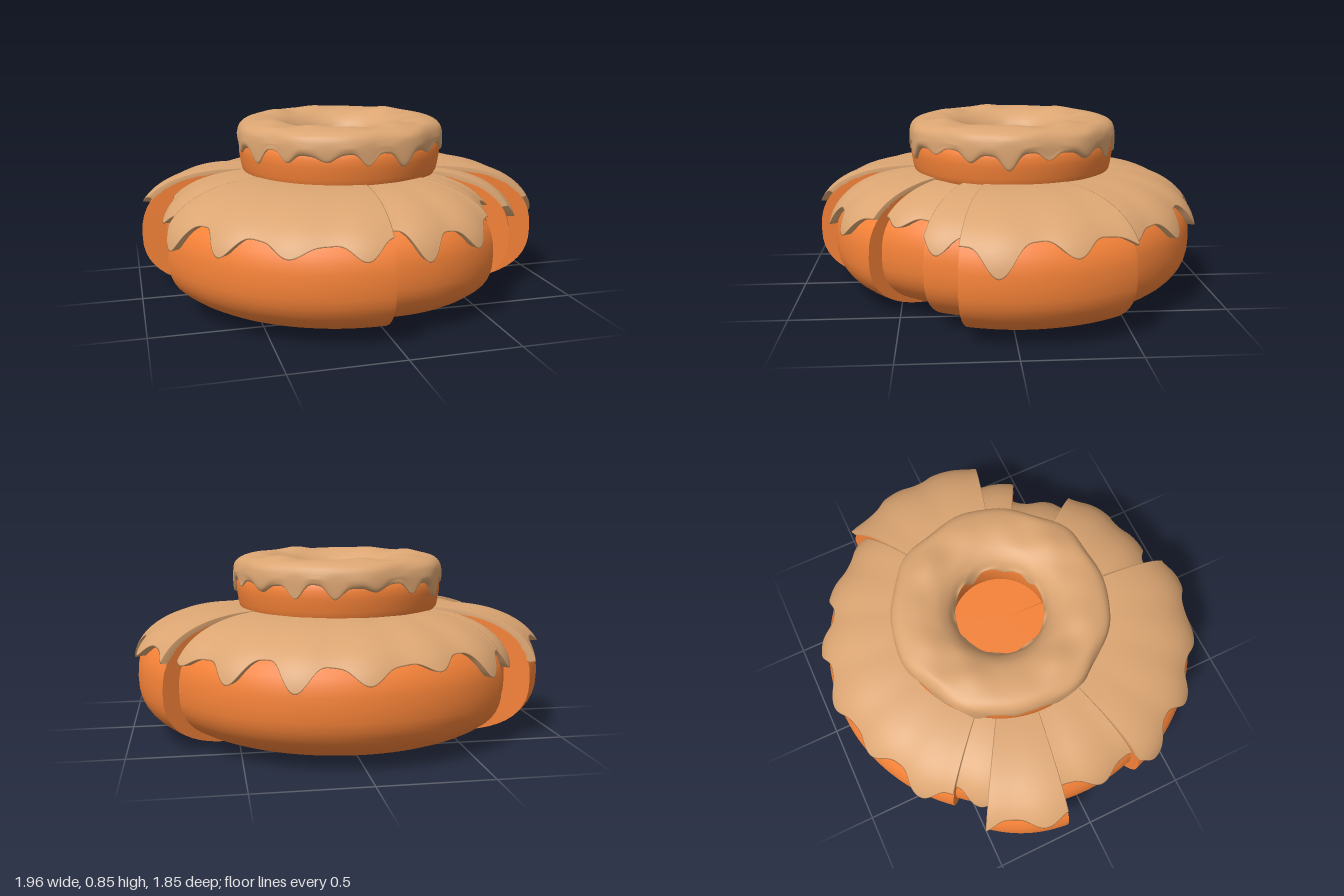
import * as THREE from 'three';

const dough = new THREE.MeshStandardMaterial({ color: 0xf58238, side: THREE.DoubleSide });
const glaze = new THREE.MeshStandardMaterial({ color: 0xdba572, side: THREE.DoubleSide });
const RAD = Math.PI / 180;

// Smooth surface from a grid: fn(i, j) gives [angle, radius, height]
function surface(name, material, nu, nv, fn, closed = false) {
  const pos = [], idx = [], cols = closed ? nu : nu + 1;
  for (let i = 0; i < cols; i++) {
    for (let j = 0; j <= nv; j++) {
      const [phi, r, y] = fn(i, j);
      pos.push(r * Math.cos(phi), y, r * Math.sin(phi));
    }
  }
  for (let i = 0; i < nu; i++) {
    for (let j = 0; j < nv; j++) {
      const a = i * (nv + 1) + j, b = ((i + 1) % cols) * (nv + 1) + j;
      idx.push(a, a + 1, b, b, a + 1, b + 1);
    }
  }
  const g = new THREE.BufferGeometry();
  g.setAttribute('position', new THREE.Float32BufferAttribute(pos, 3));
  g.setIndex(idx);
  g.computeVertexNormals();
  const mesh = new THREE.Mesh(g, material);
  mesh.name = name;
  return mesh;
}

// Plump cross-section of the large base: angle a runs from -90 to 90 degrees
const spow = (v, e) => Math.sign(v) * Math.pow(Math.abs(v), e);
function bunProfile(R, a, thick = 0) {
  const s = spow(Math.sin(a), 0.8), c = Math.pow(Math.max(0, Math.cos(a)), 0.8);
  return [
    R - 0.5 + 0.5 * c + thick * Math.cos(a),
    0.28 + (s > 0 ? 0.30 : 0.28) * s + thick * 0.6 * Math.sin(a),
  ];
}

// Uneven drips: 0 at the rim, 1 at the tip of the longest drip
function drip(phi, k) {
  const main = Math.pow(0.5 + 0.5 * Math.sin(k * phi), 1.8);
  return main * (0.68 + 0.32 * Math.sin(5 * phi + 1)) + 0.12 * Math.sin(7 * phi);
}

// One wedge of the base with its cut faces and its own glaze
function makeSector([from, to, R0, R1, bulge]) {
  const group = new THREE.Group();
  group.name = 'baseSector';
  const n = Math.max(10, Math.round((to - from) * 1.2)), m = 28;
  const phiAt = u => (from + (to - from) * u) * RAD;
  const radius = u => R0 + (R1 - R0) * u + bulge * Math.sin(Math.PI * u);
  const section = (u, j) => {
    if (j === 0) return [0, 0];
    if (j === m) return [0, 0.58];
    return bunProfile(radius(u), (-0.5 + (j - 1) / (m - 2)) * Math.PI);
  };
  group.add(surface('baseDough', dough, n, m, (i, j) => [phiAt(i / n), ...section(i / n, j)]));
  for (const u of [0, 1]) {
    group.add(surface('cutFace', dough, 1, m, (i, j) => {
      const [r, y] = section(u, j);
      return i ? [phiAt(u), r, y] : [phiAt(u), 0, 0.28];
    }));
  }

  // Glaze shell, tucked onto the dough along every border
  const cols = n * 3 + 2, rows = 22;
  group.add(surface('baseGlaze', glaze, cols, rows, (i, j) => {
    const u = THREE.MathUtils.clamp((i - 1) / (cols - 2), 0, 1), phi = phiAt(u);
    const edgeY = 0.455 - 0.11 * drip(phi, 19);
    const a0 = Math.asin(spow((edgeY - 0.28) / 0.30, 1.25));
    const v = Math.max(0, (j - 2) / (rows - 2));
    const border = i === 0 || i === cols || j === 0;
    const lump = 0.006 * Math.sin(19 * phi) * (1 - v);
    const thick = border ? -0.005 : 0.03 + lump;
    const a = a0 + (Math.PI / 2 - a0) * v + (j === 1 ? -0.02 : 0);
    return [phi, ...bunProfile(radius(u), a, thick)];
  }));
  return group;
}

// Small ring on top, swept from a smooth cross-section
function makeRing(name, material, nu, nv, points) {
  let curve, last = -1;
  return surface(name, material, nu, nv, (i, j) => {
    const phi = (i / nu) * Math.PI * 2;
    if (i !== last) {
      curve = new THREE.SplineCurve(points(phi).map(p => new THREE.Vector2(...p)));
      last = i;
    }
    const p = curve.getPoint(j / nv);
    return [phi, p.x, p.y];
  }, true);
}

export function createModel() {
  const model = new THREE.Group();
  model.name = 'glazedCake';

  // Base wedges: start degree, end degree, start radius, end radius, bulge
  const sectors = [
    [-31, 15, 0.97, 0.94, 0.01],
    [15, 28, 0.82, 0.82, 0],
    [28, 50, 0.72, 0.75, 0],
    [50, 90.5, 0.82, 0.82, 0.01],
    [91.5, 162, 0.91, 0.93, 0.01],
    [162, 188, 0.88, 0.87, 0],
    [188, 211, 0.99, 0.97, 0.01],
    [211, 222, 0.85, 0.85, 0],
    [222, 329, 0.89, 0.89, 0.02],
  ];
  const base = new THREE.Group();
  base.name = 'base';
  sectors.forEach(s => base.add(makeSector(s)));
  model.add(base);

  // Top ring
  const ring = new THREE.Group();
  ring.name = 'topRing';
  ring.add(makeRing('ringDough', dough, 64, 24, () => [
    [0.465, 0.57], [0.485, 0.62], [0.485, 0.74], [0.36, 0.81],
    [0.235, 0.74], [0.22, 0.65], [0.23, 0.57],
  ]));
  ring.add(makeRing('ringGlaze', glaze, 200, 40, phi => {
    const out = 0.735 - 0.07 * drip(phi, 17), inn = 0.735 - 0.06 * drip(phi + 0.4, 9);
    const w = 0.006 * Math.sin(7 * phi) + 0.004 * Math.sin(11 * phi + 2);
    return [
      [0.475, out + 0.005], [0.497, out], [0.505 + w, out + 0.02], [0.504 + w, 0.775],
      [0.49 + w, 0.812], [0.45, 0.836], [0.37, 0.844 + w], [0.29, 0.826],
      [0.24, 0.79], [0.218, 0.755], [0.208, inn + 0.01], [0.213, inn], [0.235, inn + 0.005],
    ];
  }));
  ring.position.set(-0.01, 0, -0.04);
  model.add(ring);

  return model;
}
